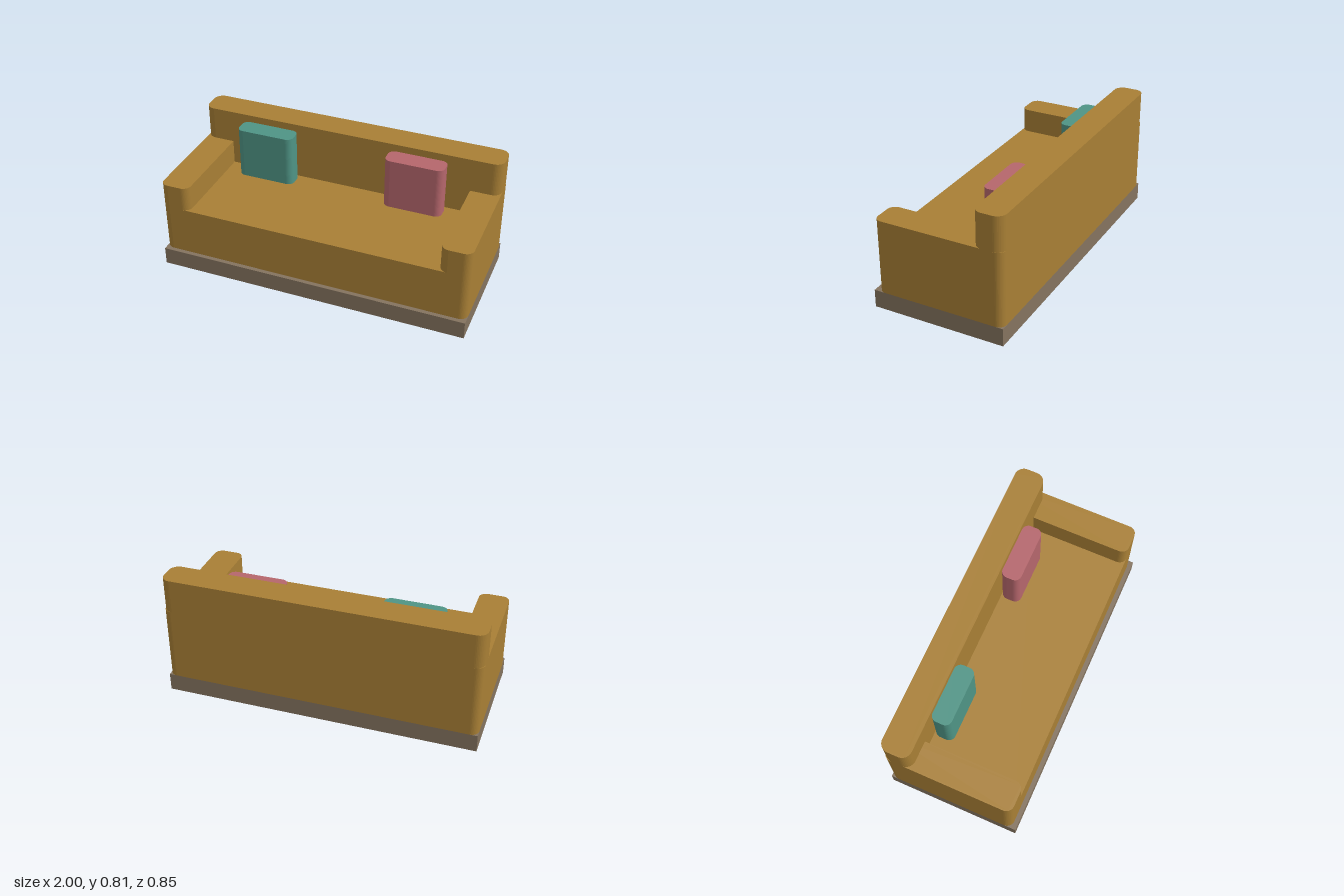
import * as THREE from 'three';

const material = (name, color) => {
  const m = new THREE.MeshStandardMaterial({ color });
  m.name = name;
  return m;
};

// Upright block whose four vertical edges are rounded
function roundedBlock(name, mat, [x0, x1], [y0, y1], [z0, z1], r) {
  const s = new THREE.Shape();
  const a = -z1, b = -z0; // shape y becomes -z once laid flat
  s.moveTo(x0 + r, a);
  s.lineTo(x1 - r, a);
  s.absarc(x1 - r, a + r, r, -Math.PI / 2, 0);
  s.lineTo(x1, b - r);
  s.absarc(x1 - r, b - r, r, 0, Math.PI / 2);
  s.lineTo(x0 + r, b);
  s.absarc(x0 + r, b - r, r, Math.PI / 2, Math.PI);
  s.lineTo(x0, a + r);
  s.absarc(x0 + r, a + r, r, Math.PI, Math.PI * 1.5);
  const geo = new THREE.ExtrudeGeometry(s, { depth: y1 - y0, bevelEnabled: false, curveSegments: 5 });
  geo.rotateX(-Math.PI / 2);
  geo.translate(0, y0, 0);
  const mesh = new THREE.Mesh(geo, mat);
  mesh.name = name;
  return mesh;
}

function box(name, mat, [x0, x1], [y0, y1], [z0, z1]) {
  const mesh = new THREE.Mesh(new THREE.BoxGeometry(x1 - x0, y1 - y0, z1 - z0), mat);
  mesh.position.set((x0 + x1) / 2, (y0 + y1) / 2, (z0 + z1) / 2);
  mesh.name = name;
  return mesh;
}

export function createModel() {
  const fabric = material('ochre fabric', 0xa87f35);
  const plinth = material('taupe plinth', 0x84735f);
  const teal = material('teal cushion', 0x4f9485);
  const pink = material('pink cushion', 0xb5666c);
  const sofa = new THREE.Group();
  sofa.name = 'sofa';

  // Plinth and seat
  sofa.add(box('base', plinth, [-1, 1], [0, 0.115], [-0.427, 0.427]));
  sofa.add(box('seat', fabric, [-0.94, 0.94], [0.115, 0.432], [-0.3, 0.4]));

  // Backrest and arms
  sofa.add(roundedBlock('backrest', fabric, [-1, 1], [0.115, 0.812], [-0.427, -0.24], 0.06));
  sofa.add(roundedBlock('leftArm', fabric, [0.81, 1], [0.115, 0.592], [-0.427, 0.4], 0.05));
  sofa.add(roundedBlock('rightArm', fabric, [-1, -0.81], [0.115, 0.592], [-0.427, 0.4], 0.05));

  // Loose cushions leaning on the backrest
  sofa.add(roundedBlock('leftCushion', pink, [0.285, 0.665], [0.43, 0.765], [-0.24, -0.115], 0.042));
  sofa.add(roundedBlock('rightCushion', teal, [-0.715, -0.335], [0.43, 0.765], [-0.24, -0.115], 0.042));
  return sofa;
}
